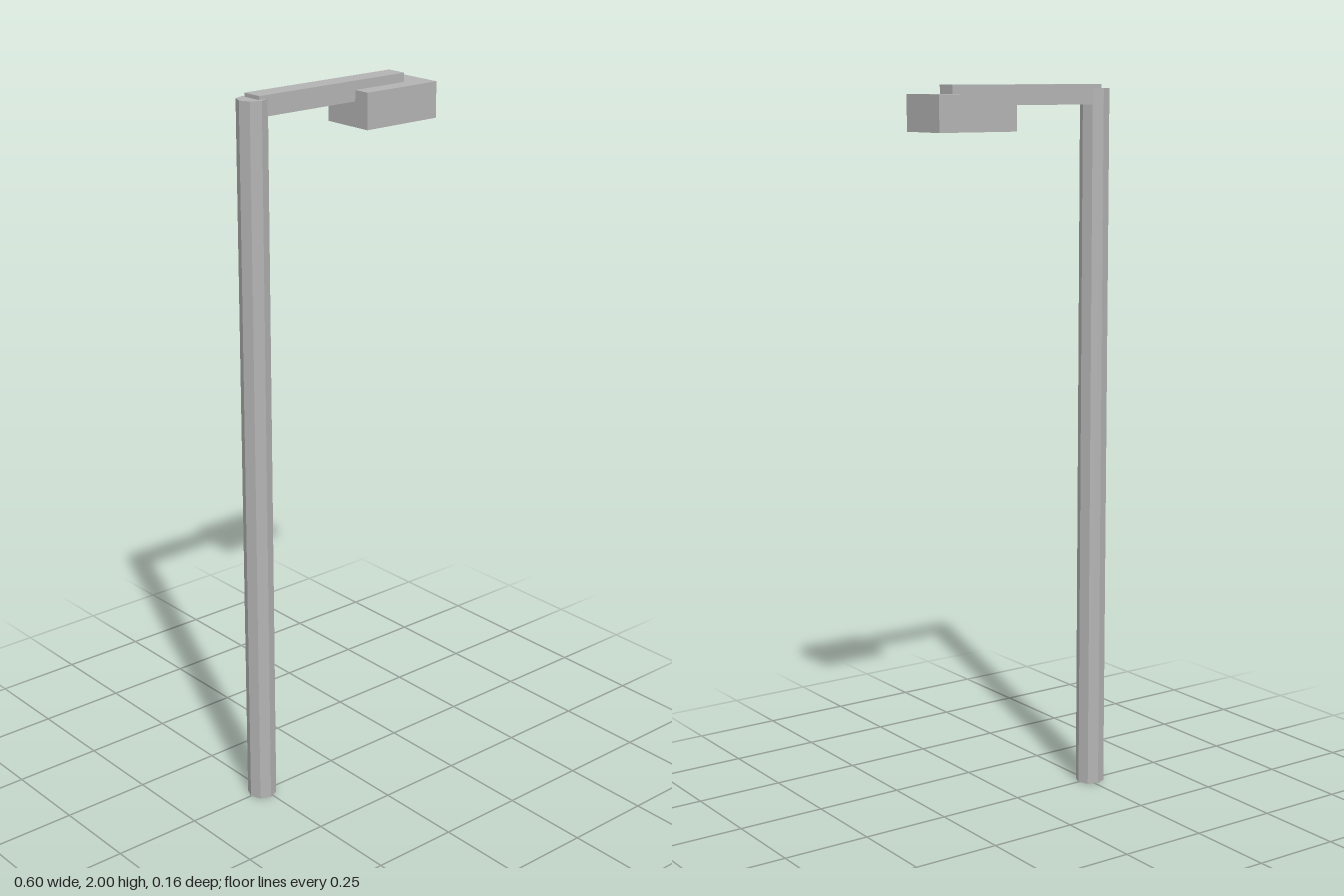
import * as THREE from 'three';

export function createModel() {
  const model = new THREE.Group();
  model.name = 'streetLight';
  const greyMetal = new THREE.MeshStandardMaterial({ color: 0xb3b3b3 });
  greyMetal.name = 'grey metal';

  const add = (name, geometry, x, y, z = 0) => {
    const mesh = new THREE.Mesh(geometry, greyMetal);
    mesh.name = name;
    mesh.position.set(x, y, z);
    model.add(mesh);
  };

  // Eight-sided pole with flat facets, one corner on each axis
  const poleHeight = 1.99;
  const pole = new THREE.CylinderGeometry(0.0405, 0.0405, poleHeight, 8).toNonIndexed();
  pole.computeVertexNormals();
  add('pole', pole, -0.259, poleHeight / 2);

  // Horizontal arm from the pole centre, rising just above the pole top
  add('arm', new THREE.BoxGeometry(0.486, 0.054, 0.059), -0.016, 1.973);

  // Lamp head wrapped around the arm's end
  add('lampHead', new THREE.BoxGeometry(0.242, 0.097, 0.155), 0.178, 1.927);

  return model;
}
